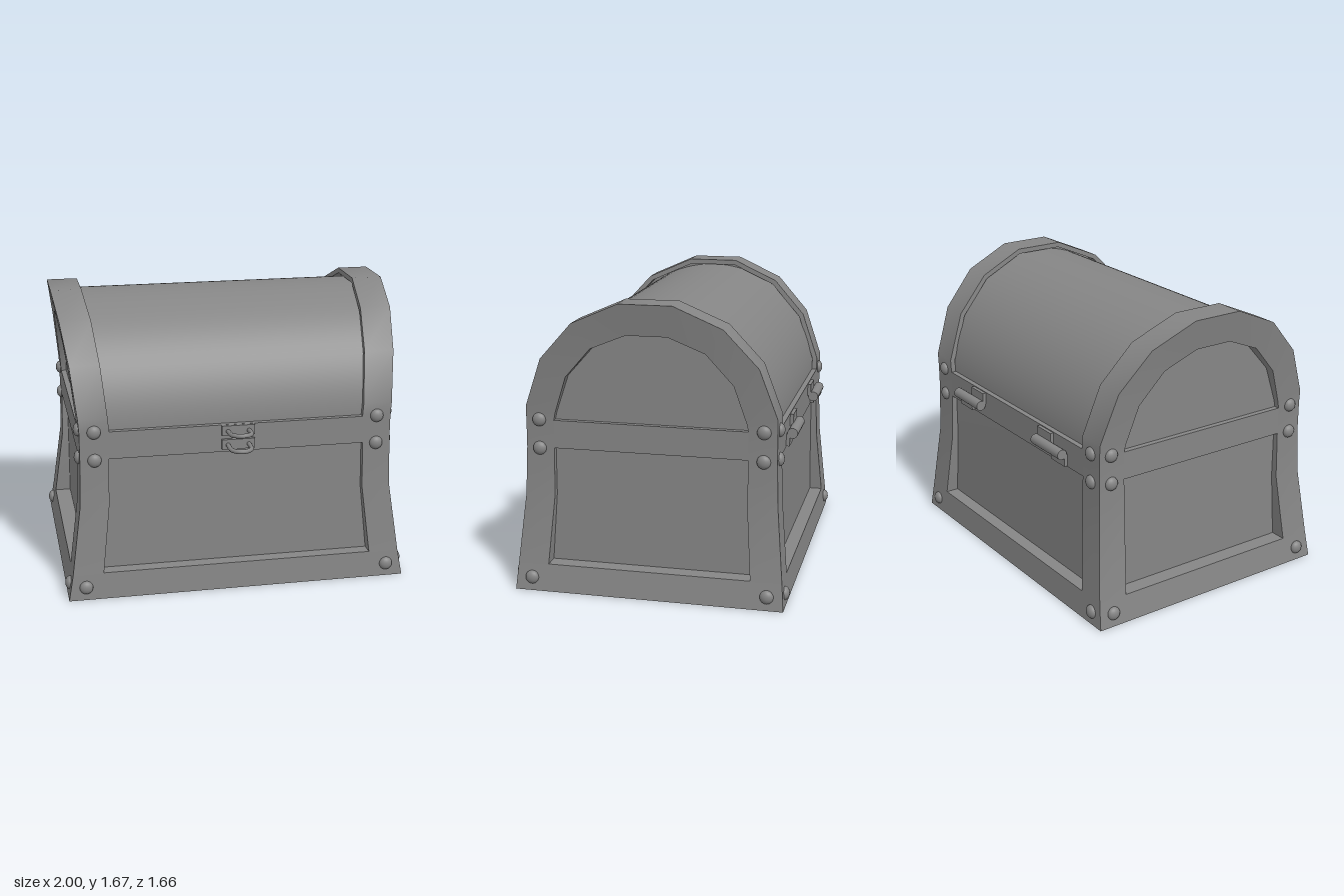
import * as THREE from 'three';
import { toCreasedNormals } from 'three/addons/utils/BufferGeometryUtils.js';

const T = 0.03; // wall thickness of the frame
const AXIS_Y = 0.955; // centre height of the rounded lid
const CORE_X = 0.86, CORE_Z = 0.675; // where the frame meets the box inside it
const mat = new THREE.MeshStandardMaterial({ color: 0x858585 });

// Outline of the end frame, from floor to crown:
// outer depth, outer height, inner depth, inner height, inner edge of the front band
const ROWS = [
  [0.77, 0, 0.595, 0, 0.8],
  [0.758, 0.145, 0.581, 0.145, 0.786],
  [0.757, 0.155, 0.58, 0.155, 0.785],
  [0.72, 0.55, 0.55, 0.55, 0.74],
  [0.71, 0.825, 0.55, 0.825, 0.735],
  [0.71, 0.985, 0.55, 0.985, 0.73],
  [0.71, 1.06, 0.54, 1.03, 0.735],
  [0.61, 1.34, 0.47, 1.24, 0.76],
  [0.42, 1.55, 0.32, 1.41, 0.785],
  [0.15, 1.67, 0.115, 1.495, 0.81],
];

// Half width of the chest by height: narrow waist, flared foot and crown
const WIDTH = [[0, 0.988], [0.155, 0.96], [0.55, 0.905], [0.825, 0.897], [0.985, 0.897],
  [1.06, 0.902], [1.34, 0.932], [1.55, 0.964], [1.67, 0.988]];

function interpolate(table, y) {
  let i = 1;
  while (i < table.length - 1 && table[i][0] < y) i++;
  const [y0, a] = table[i - 1], [y1, b] = table[i];
  return a + (b - a) * (y - y0) / (y1 - y0);
}
const halfWidth = (y) => interpolate(WIDTH, y);
const halfDepth = (y) => interpolate(ROWS.slice(0, 7).map((r) => [r[1], r[0]]), y);

// The foot is a thin wall; above it the frame reaches back to the box
const back = (outer, y, core) => (y < 0.15 ? outer - T : core);

// Solid through a list of cross-sections, capped at both ends
function loft(sections) {
  const pos = [];
  const quad = (a, b, c, d) => pos.push(...a, ...b, ...c, ...a, ...c, ...d);
  const n = sections[0].length;
  for (let i = 0; i < sections.length - 1; i++) {
    const a = sections[i], b = sections[i + 1];
    for (let k = 0; k < n; k++) quad(a[k], a[(k + 1) % n], b[(k + 1) % n], b[k]);
  }
  const s = sections[0], e = sections[sections.length - 1];
  for (let k = 0; k < n / 2 - 1; k++) {
    quad(s[k], s[n - 1 - k], s[n - 2 - k], s[k + 1]);
    quad(e[k], e[k + 1], e[n - 2 - k], e[n - 1 - k]);
  }
  const geo = new THREE.BufferGeometry();
  geo.setAttribute('position', new THREE.Float32BufferAttribute(pos, 3));
  return toCreasedNormals(geo, 0.65);
}

function add(parent, name, geo, x = 0, y = 0, z = 0) {
  const mesh = new THREE.Mesh(geo, mat);
  mesh.name = name;
  mesh.position.set(x, y, z);
  parent.add(mesh);
  return mesh;
}

// Angle-section hoop: up the front corner, over the lid and down the back corner
function endFrameGeometry() {
  const shrink = 1 - T / 0.72;
  const section = ([pz, py, qz, qy, band], s) => {
    const lid = py > AXIS_Y;
    const iz = s * (lid ? pz * shrink : back(pz, py, CORE_Z));
    const iy = lid ? AXIS_Y + (py - AXIS_Y) * shrink : py;
    const xp = halfWidth(py), xq = halfWidth(qy);
    return [[band, py, pz * s], [xp, py, pz * s], [xq, qy, qz * s],
      [back(xq, qy, CORE_X), qy, qz * s], [back(xp, py, CORE_X), iy, iz], [band, iy, iz]];
  };
  return loft([...ROWS.map((r) => section(r, 1)), ...[...ROWS].reverse().map((r) => section(r, -1))]);
}

const frontRailGeometry = (rows) => loft(rows.map(([z, y, , , w]) => {
  const b = back(z, y, CORE_Z);
  return [[-w, y, z], [w, y, z], [w, y, b], [-w, y, b]];
}));

const endRailGeometry = (rows) => loft(rows.map(([, , z, y]) => {
  const x = halfWidth(y), b = back(x, y, CORE_X);
  return [[x, y, z], [x, y, -z], [b, y, -z], [b, y, z]];
}));

// Recessed box with a half-round lid
function bodyGeometry() {
  const shape = new THREE.Shape();
  shape.moveTo(-0.68, 0.15);
  shape.lineTo(0.68, 0.15);
  shape.lineTo(0.68, AXIS_Y);
  shape.absarc(0, AXIS_Y, 0.68, 0, Math.PI);
  shape.closePath();
  const geo = new THREE.ExtrudeGeometry(shape, { depth: 1.73, bevelEnabled: false, curveSegments: 40 });
  geo.translate(0, 0, -0.865);
  geo.rotateY(Math.PI / 2);
  return toCreasedNormals(geo, 0.5);
}

// U-shaped loop of the latch
function loopGeometry() {
  const pts = [new THREE.Vector3(-0.06, 0, -0.02)];
  for (let i = 0; i <= 10; i++) {
    const a = Math.PI * (1 - i / 10);
    pts.push(new THREE.Vector3(0.06 * Math.cos(a), 0, 0.075 + 0.06 * Math.sin(a)));
  }
  pts.push(new THREE.Vector3(0.06, 0, -0.02));
  return new THREE.TubeGeometry(new THREE.CatmullRomCurve3(pts), 40, 0.013, 10);
}

export function createModel() {
  const model = new THREE.Group();
  model.name = 'chest';
  const chest = new THREE.Group();
  chest.name = 'chestBody';
  chest.position.z = -0.04;
  model.add(chest);

  add(chest, 'box', bodyGeometry());

  // Frame and rivets of one half, turned half round for the other
  const rivet = new THREE.SphereGeometry(0.039, 16, 12);
  const frame = endFrameGeometry();
  const railRows = { bottomRail: ROWS.slice(0, 3), middleRail: ROWS.slice(4, 6) };
  for (const side of [0, 1]) {
    const half = new THREE.Group();
    half.name = side ? 'rightAndBackFrame' : 'leftAndFrontFrame';
    half.rotation.y = side * Math.PI;
    chest.add(half);
    add(half, 'endFrame', frame);
    for (const [name, rows] of Object.entries(railRows)) {
      add(half, name, frontRailGeometry(rows));
      add(half, name + 'End', endRailGeometry(rows));
    }
    for (const [y, x, z] of [[0.075, 0.888, 0.675], [0.821, 0.815, 0.635], [0.986, 0.815, 0.635]]) {
      for (const s of [-1, 1]) {
        add(half, 'rivet', rivet, s * x, y, halfDepth(y)).scale.z = 0.7;
        add(half, 'rivet', rivet, halfWidth(y), y, s * z).scale.x = 0.7;
      }
    }
  }

  // Latch: two plates, each with a loop
  const loop = loopGeometry();
  for (const [y, loopY, tilt] of [[0.955, 0.95, -0.09], [0.873, 0.87, 0]]) {
    add(chest, 'latchPlate', new THREE.BoxGeometry(0.19, 0.058, 0.03), 0, y, 0.715);
    add(chest, 'latchLoop', loop, 0, loopY, 0.72).rotation.x = tilt;
  }

  // Hinges: a pin with an upper inner leaf and a lower outer leaf
  const pin = new THREE.CylinderGeometry(0.03, 0.03, 0.28, 16).rotateZ(Math.PI / 2);
  const leaf = new THREE.BoxGeometry(0.14, 0.07, 0.03);
  for (const s of [-1, 1]) {
    add(chest, 'hingePin', pin, s * 0.445, 0.905, -0.745);
    add(chest, 'hingeUpperLeaf', leaf, s * 0.375, 0.945, -0.715);
    add(chest, 'hingeLowerLeaf', leaf, s * 0.515, 0.865, -0.715);
  }
  return model;
}
